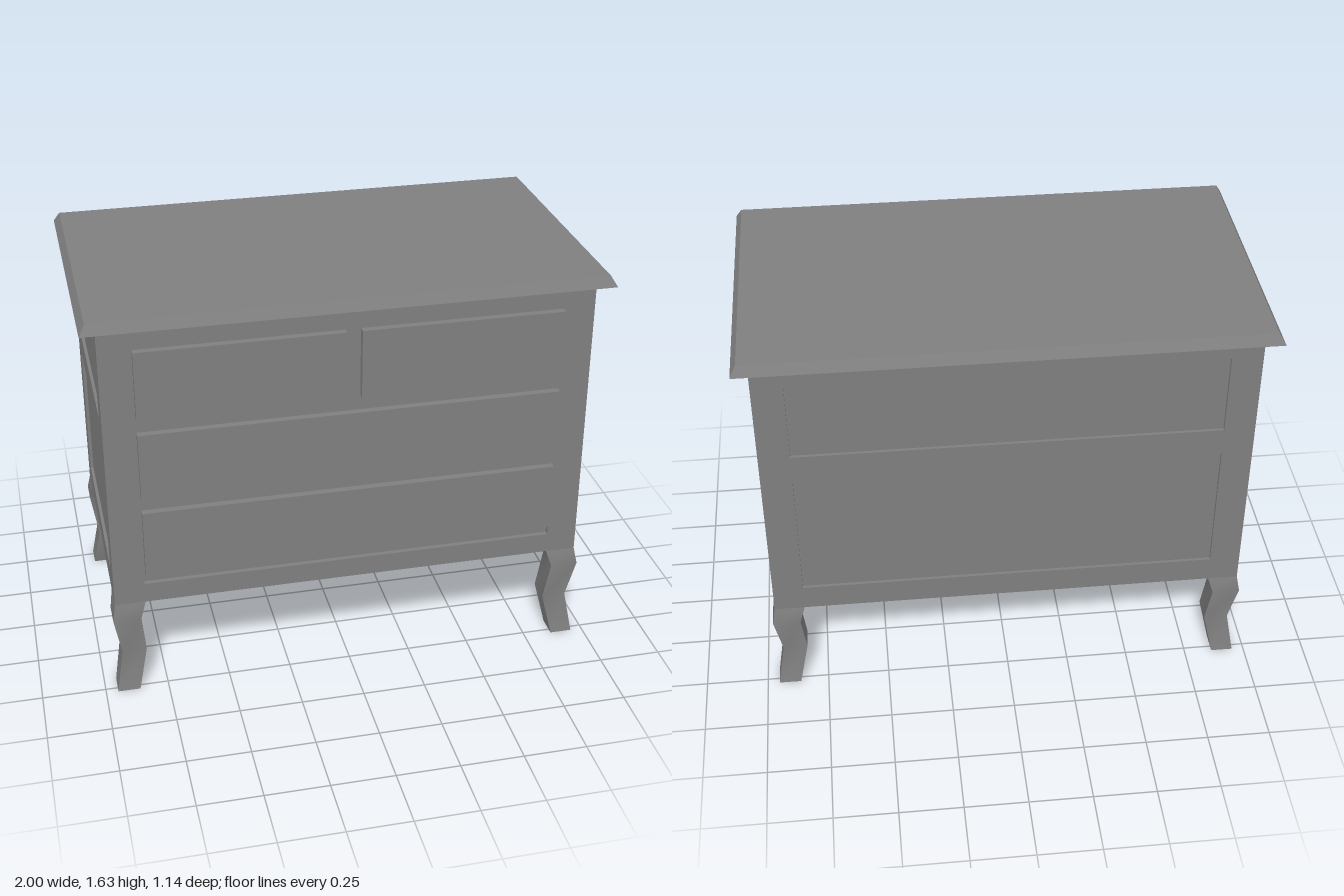
import * as THREE from 'three';
import { toCreasedNormals } from 'three/addons/utils/BufferGeometryUtils.js';

const material = new THREE.MeshStandardMaterial({ color: 0x7f7f7f });
const hollowMaterial = new THREE.MeshStandardMaterial({ color: 0x7f7f7f, side: THREE.DoubleSide });
const BASE = 0.405, TOP = 1.587, HALF_W = 0.94, HALF_D = 0.51, WALL = 0.03;

function add(parent, name, geometry, surface = material) {
  const mesh = new THREE.Mesh(geometry, surface);
  mesh.name = name;
  parent.add(mesh);
  return mesh;
}

// Box given by its min and max on each axis
function block(parent, name, [x0, x1], [y0, y1], [z0, z1]) {
  const mesh = add(parent, name, new THREE.BoxGeometry(x1 - x0, y1 - y0, z1 - z0));
  mesh.position.set((x0 + x1) / 2, (y0 + y1) / 2, (z0 + z1) / 2);
}

function rectangle(Type, [x0, x1], [y0, y1]) {
  return new Type([[x0, y0], [x1, y0], [x1, y1], [x0, y1]].map(p => new THREE.Vector2(...p)));
}

// Framed wall facing +z at the given distance, with sunken panels, then turned
function wall(name, halfWidth, distance, turn, holes, recess) {
  const group = new THREE.Group();
  group.name = name;
  const shape = rectangle(THREE.Shape, [-halfWidth, halfWidth], [BASE, TOP]);
  holes.forEach(([x, y]) => shape.holes.push(rectangle(THREE.Path, x, y)));
  const frame = new THREE.ExtrudeGeometry(shape, { depth: WALL, bevelEnabled: false });
  add(group, 'frame', frame.translate(0, 0, distance - WALL));
  holes.forEach(([x, y]) =>
    block(group, 'sunkenPanel', x, y, [distance - WALL, distance - recess]));
  group.rotation.y = turn;
  return group;
}

// Leg cross-sections from foot to top: y, inner and outer x, inner and outer z
const LEG = [
  [0, 0.864, 0.952, 0.437, 0.524],
  [0.17, 0.826, 0.923, 0.4, 0.494],
  [0.34, 0.842, 0.952, 0.425, 0.526],
  [BASE, 0.82, HALF_W, 0.393, HALF_D],
];

// Four-sided hollow tube, open at the foot, shaped by the cross-sections
function legGeometry(sx, sz) {
  const geometry = new THREE.CylinderGeometry(1, 1, 3, 4, 3, true).rotateY(Math.PI / 4);
  const p = geometry.attributes.position;
  for (let i = 0; i < p.count; i++) {
    const [y, xIn, xOut, zIn, zOut] = LEG[Math.round(p.getY(i) + 1.5)];
    p.setXYZ(i,
      sx * (p.getX(i) * sx > 0 ? xOut : xIn), y,
      sz * (p.getZ(i) * sz > 0 ? zOut : zIn));
  }
  return toCreasedNormals(geometry, 0.8);
}

export function createModel() {
  const model = new THREE.Group();
  model.name = 'chestOfDrawers';

  // Cabinet walls
  const rows = [[0.51, 1.06], [1.17, 1.5]];
  const sideHoles = rows.map(y => [[-0.395, 0.395], y]);
  const backHoles = rows.map(y => [[-0.82, 0.82], y]);
  model.add(
    wall('frontWall', HALF_W, HALF_D, 0, [[[-0.82, 0.82], [0.487, 0.54]]], 0.02),
    wall('backWall', HALF_W, HALF_D, Math.PI, backHoles, 0.012),
    wall('leftWall', HALF_D, HALF_W, Math.PI / 2, sideHoles, 0.012),
    wall('rightWall', HALF_D, HALF_W, -Math.PI / 2, sideHoles, 0.012),
  );
  block(model, 'floor', [-0.92, 0.92], [0.43, 0.45], [-0.49, 0.49]);

  // Drawer fronts
  const drawers = [
    [[-0.815, -0.03], [1.217, 1.492]],
    [[0.03, 0.815], [1.217, 1.492]],
    [[-0.815, 0.815], [0.88, 1.155]],
    [[-0.815, 0.815], [0.54, 0.82]],
  ];
  drawers.forEach(([x, y]) => block(model, 'drawerFront', x, y, [0.485, 0.538]));

  // Table top, narrower above than below
  const slab = new THREE.BoxGeometry(2, 0.04, 1.14).translate(0, TOP + 0.02, 0);
  const p = slab.attributes.position;
  for (let i = 0; i < p.count; i++) {
    if (p.getY(i) > TOP + 0.02) {
      p.setX(i, Math.sign(p.getX(i)) * 0.977);
      p.setZ(i, Math.sign(p.getZ(i)) * 0.547);
    }
  }
  slab.computeVertexNormals();
  add(model, 'tableTop', slab);

  // Curved legs with a block joining each to the floor
  for (const sx of [-1, 1]) for (const sz of [-1, 1]) {
    add(model, 'leg', legGeometry(sx, sz), hollowMaterial);
    const joint = add(model, 'legBlock', new THREE.BoxGeometry(0.1, 0.04, 0.1));
    joint.position.set(sx * 0.878, 0.424, sz * 0.45);
  }
  return model;
}
